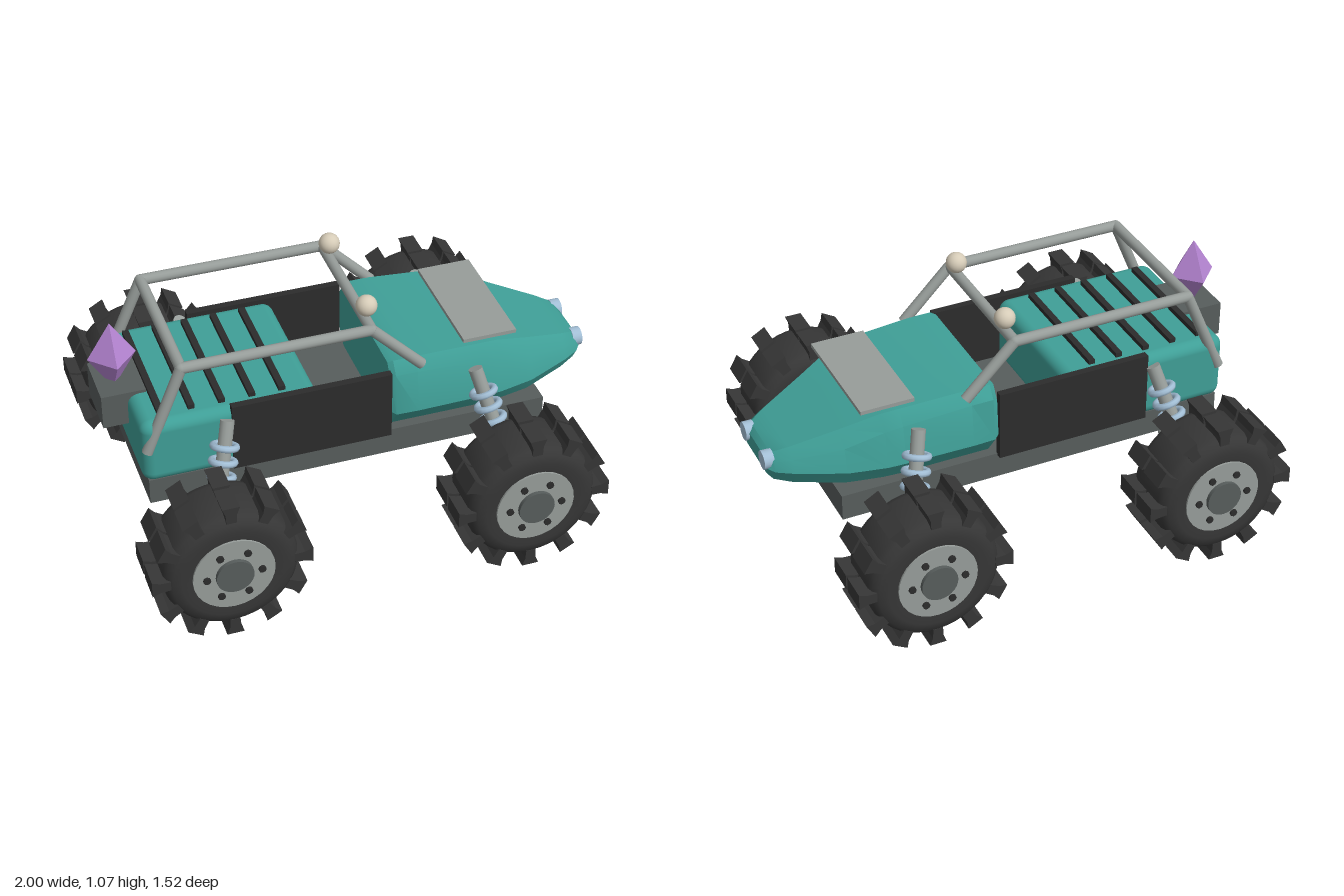
import * as THREE from 'three';
import { toCreasedNormals } from 'three/addons/utils/BufferGeometryUtils.js';
import { RoundedBoxGeometry } from 'three/addons/geometries/RoundedBoxGeometry.js';

const paint = (name, color) => {
  const m = new THREE.MeshStandardMaterial({ color });
  m.name = name;
  return m;
};
const teal = paint('teal', 0x3f9f97);
const rubber = paint('rubber', 0x363636);
const black = paint('black', 0x2c2c2c);
const darkGrey = paint('darkGrey', 0x575d5c);
const steel = paint('steel', 0x979d9a);
const paleBlue = paint('paleBlue', 0xa3bfd6);
const cream = paint('cream', 0xd6ccb8);
const purple = paint('purple', 0xb383d0);

const add = (parent, name, geo, mat, x = 0, y = 0, z = 0) => {
  const m = new THREE.Mesh(geo, mat);
  m.name = name;
  m.position.set(x, y, z);
  parent.add(m);
  return m;
};
const box = (parent, name, mat, w, h, d, x, y, z) =>
  add(parent, name, new THREE.BoxGeometry(w, h, d), mat, x, y, z);

// Round bar between two points
const UP = new THREE.Vector3(0, 1, 0);
function bar(parent, name, mat, from, to, r) {
  const a = new THREE.Vector3(...from), b = new THREE.Vector3(...to);
  const dir = b.clone().sub(a);
  const mid = a.clone().add(b).multiplyScalar(0.5);
  const m = add(parent, name, new THREE.CylinderGeometry(r, r, dir.length(), 14), mat, mid.x, mid.y, mid.z);
  m.quaternion.setFromUnitVectors(UP, dir.normalize());
  return m;
}

// Nose lofted from eight-sided sections along x
function noseGeometry() {
  // x, heights (bottom, belt, shoulder, top), half widths (same order)
  const sections = [
    [0.11, 0.49, 0.57, 0.72, 0.775, 0.25, 0.318, 0.305, 0.27],
    [0.13, 0.47, 0.56, 0.735, 0.785, 0.265, 0.332, 0.315, 0.28],
    [0.22, 0.47, 0.56, 0.735, 0.785, 0.265, 0.335, 0.315, 0.28],
    [0.50, 0.47, 0.56, 0.715, 0.772, 0.265, 0.33, 0.305, 0.265],
    [0.57, 0.47, 0.555, 0.70, 0.76, 0.26, 0.32, 0.292, 0.25],
    [0.72, 0.475, 0.55, 0.645, 0.702, 0.235, 0.282, 0.255, 0.20],
    [0.90, 0.485, 0.55, 0.60, 0.637, 0.16, 0.20, 0.18, 0.14],
    [0.965, 0.50, 0.55, 0.585, 0.612, 0.13, 0.16, 0.145, 0.11],
    [0.985, 0.52, 0.555, 0.575, 0.59, 0.11, 0.135, 0.12, 0.10],
  ];
  const pos = [], idx = [], n = 8;
  sections.forEach(([x, ...v]) => {
    for (let k = 3; k >= 0; k--) pos.push(x, v[k], v[k + 4]);
    for (let k = 0; k < 4; k++) pos.push(x, v[k], -v[k + 4]);
  });
  for (let i = 0; i < sections.length - 1; i++) {
    for (let j = 0; j < n; j++) {
      const a = i * n + j, b = i * n + (j + 1) % n;
      idx.push(a, b, b + n, a, b + n, a + n);
    }
  }
  const last = (sections.length - 1) * n;
  for (let j = 1; j < n - 1; j++) {
    idx.push(0, j + 1, j);
    idx.push(last, last + j, last + j + 1);
  }
  const g = new THREE.BufferGeometry();
  g.setAttribute('position', new THREE.Float32BufferAttribute(pos, 3));
  g.setIndex(idx);
  return toCreasedNormals(g, 0.5);
}

// Wheel with its axle along z
const tyreProfile = [[0.15, -0.125], [0.2, -0.132], [0.235, -0.125], [0.255, -0.105], [0.263, -0.08],
  [0.263, 0.08], [0.255, 0.105], [0.235, 0.125], [0.2, 0.132], [0.15, 0.125]];
const tyreGeo = toCreasedNormals(
  new THREE.LatheGeometry(tyreProfile.map(p => new THREE.Vector2(...p)), 40), 0.6).rotateX(Math.PI / 2);
const disc = (r, d) => new THREE.CylinderGeometry(r, r, d, 28).rotateX(Math.PI / 2);
const lugShape = new THREE.Shape([[-0.02, 0.24], [0.02, 0.24], [0.022, 0.28], [0.034, 0.312],
  [-0.034, 0.312], [-0.022, 0.28]].map(p => new THREE.Vector2(...p)));
const lugGeo = new THREE.ExtrudeGeometry(lugShape, { depth: 0.115, bevelEnabled: false });
const rimGeo = disc(0.16, 0.268), hubGeo = disc(0.073, 0.3);
const boltGeo = new THREE.CylinderGeometry(0.015, 0.015, 0.286, 8).rotateX(Math.PI / 2);

function makeWheel() {
  const wheel = new THREE.Group();
  wheel.name = 'wheel';
  add(wheel, 'tyre', tyreGeo, rubber);
  add(wheel, 'rim', rimGeo, steel);
  add(wheel, 'hub', hubGeo, darkGrey);
  for (let i = 0; i < 6; i++) {
    const a = i * Math.PI / 3;
    add(wheel, 'bolt', boltGeo, black, 0.107 * Math.cos(a), 0.107 * Math.sin(a), 0);
  }
  for (let i = 0; i < 12; i++) {
    for (const z of [-0.122, 0.007]) {
      add(wheel, 'treadLug', lugGeo, rubber, 0, 0, z).rotation.z = i * Math.PI / 6;
    }
  }
  return wheel;
}

// Damper rod with a stack of spring rings, leaning out to the wheel
function makeShock(x, s) {
  const shock = new THREE.Group();
  shock.name = 'shock';
  const lean = x < 0 ? -0.09 : 0.09;
  const top = [x, 0.71, 0.335 * s], foot = [x + lean, 0.36, 0.465 * s];
  bar(shock, 'damperRod', steel, top, foot, 0.028);
  const a = new THREE.Vector3(...top), b = new THREE.Vector3(...foot);
  const dir = b.clone().sub(a).normalize();
  const ring = new THREE.TorusGeometry(0.045, 0.014, 8, 20);
  for (let i = 0; i < 5; i++) {
    const p = a.clone().lerp(b, 0.27 + i * 0.155);
    const coil = add(shock, 'springCoil', ring, paleBlue, p.x, p.y, p.z);
    coil.quaternion.setFromUnitVectors(new THREE.Vector3(0, 0, 1), dir);
  }
  return shock;
}

export function createModel() {
  const buggy = new THREE.Group();
  buggy.name = 'buggy';

  // Chassis and body
  box(buggy, 'chassis', darkGrey, 1.62, 0.11, 0.62, -0.05, 0.418, 0);
  add(buggy, 'nose', noseGeometry(), teal);
  add(buggy, 'rearBody', new RoundedBoxGeometry(0.7, 0.28, 0.648, 4, 0.045), teal, -0.53, 0.605, 0);
  for (const s of [-1, 1]) {
    box(buggy, 'sidePanel', black, 0.64, 0.295, 0.03, -0.21, 0.612, 0.317 * s);
  }
  for (let i = 0; i < 5; i++) {
    box(buggy, 'rearSlat', black, 0.026, 0.04, 0.54, -0.79 + i * 0.119, 0.744, 0);
  }
  box(buggy, 'hoodPlate', steel, 0.22, 0.016, 0.51, 0.54, 0.788, 0);

  // Power box and crystal at the back
  box(buggy, 'rearBox', darkGrey, 0.175, 0.145, 0.23, -0.893, 0.685, 0);
  add(buggy, 'crystal', new THREE.OctahedronGeometry(1, 0).scale(0.095, 0.15, 0.095), purple, -0.905, 0.86, 0);

  // Roll cage
  const r = 0.022, roof = 0.967;
  for (const s of [-1, 1]) {
    const z = 0.3 * s;
    const back = [-0.71, roof, z], front = [0.035, roof, z];
    bar(buggy, 'cageRail', steel, back, front, r);
    bar(buggy, 'cageFrontLeg', steel, front, [0.24, 0.76, z], r);
    bar(buggy, 'cageRearLeg', steel, back, [-0.86, 0.615, 0.312 * s], r);
    for (const p of [back, front]) add(buggy, 'cageJoint', new THREE.SphereGeometry(r, 14, 10), steel, ...p);
    add(buggy, 'roofLamp', new THREE.SphereGeometry(0.042, 20, 14), cream, 0.04, 1.027, 0.222 * s);
    add(buggy, 'headlight', new THREE.CylinderGeometry(0.038, 0.038, 0.04, 20).rotateZ(Math.PI / 2),
      paleBlue, 0.978, 0.58, 0.103 * s);
  }
  for (const x of [-0.71, 0.035]) bar(buggy, 'cageCrossbar', steel, [x, roof, -0.3], [x, roof, 0.3], r);

  // Wheels, axles and suspension
  for (const x of [-0.655, 0.555]) {
    for (const s of [-1, 1]) {
      const wheel = makeWheel();
      wheel.position.set(x, 0.313, 0.61 * s);
      buggy.add(wheel);
      bar(buggy, 'axle', steel, [x, 0.317, 0.26 * s], [x, 0.3, 0.52 * s], 0.021);
      buggy.add(makeShock(x < 0 ? -0.55 : 0.45, s));
    }
  }
  return buggy;
}
